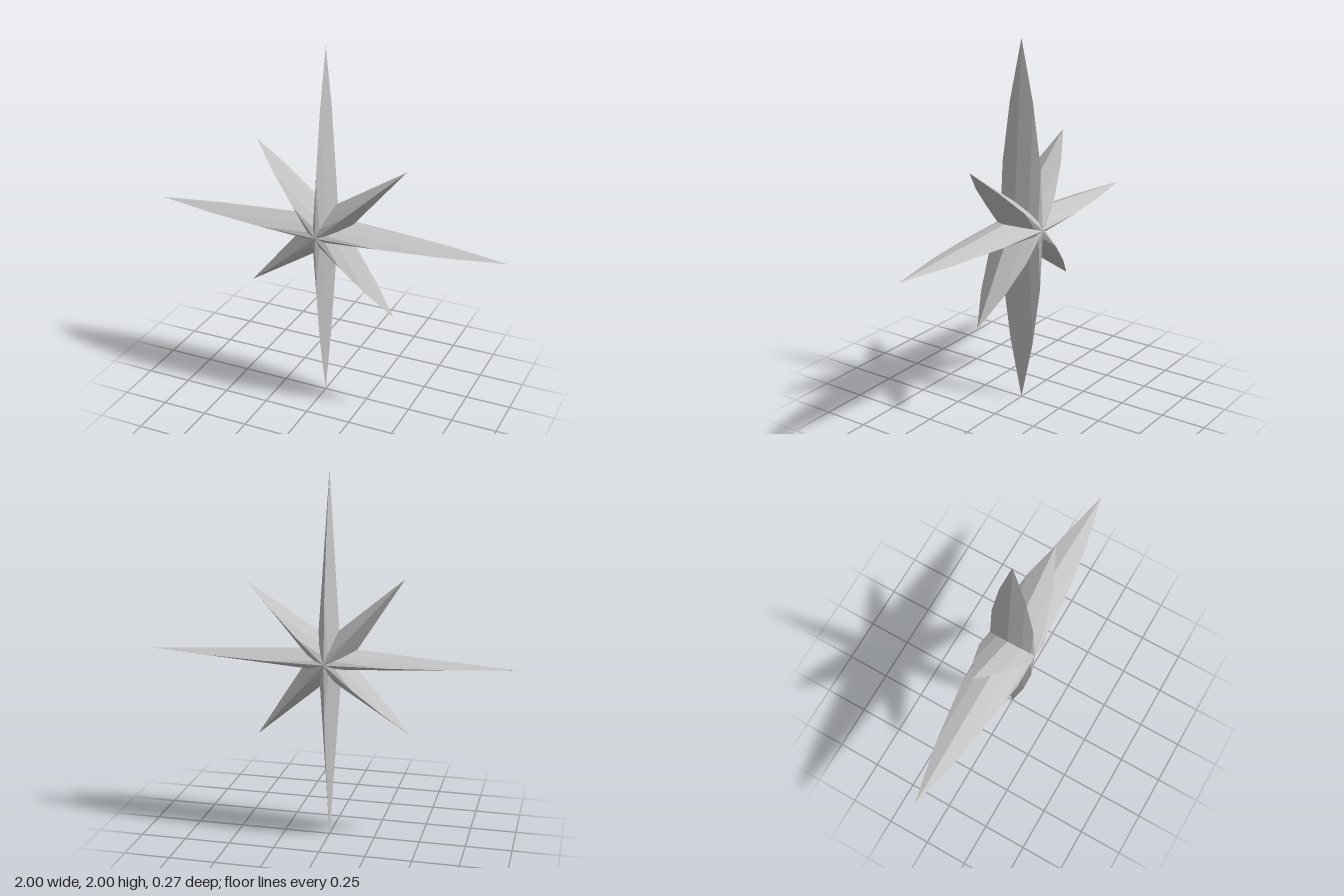
import * as THREE from 'three';

// Domed cross-section shared by all rays: [scale of the outline, half depth]
const RINGS = [[0, 0.137], [1 / 3, 0.121], [2 / 3, 0.073], [1, 0]];

const polar = (deg, r) => {
  const a = THREE.MathUtils.degToRad(deg);
  return [r * Math.cos(a), r * Math.sin(a)];
};

// One kite-shaped ray between two valleys, ridged on the front and back
function rayGeometry(outline) {
  const pos = [];
  const tri = (a, b, c, side) => pos.push(...a, ...(side > 0 ? [...b, ...c] : [...c, ...b]));
  for (const side of [1, -1]) {
    const at = (k, i) => [outline[i][0] * RINGS[k][0], outline[i][1] * RINGS[k][0], side * RINGS[k][1]];
    for (let k = 0; k < RINGS.length - 1; k++) {
      for (let i = 0; i < outline.length - 1; i++) {
        tri(at(k, i), at(k + 1, i), at(k + 1, i + 1), side);
        if (k > 0) tri(at(k, i), at(k + 1, i + 1), at(k, i + 1), side);
      }
    }
  }
  const geo = new THREE.BufferGeometry();
  geo.setAttribute('position', new THREE.Float32BufferAttribute(pos, 3));
  geo.computeVertexNormals();
  return geo;
}

export function createModel() {
  const group = new THREE.Group();
  group.name = 'eightPointedStar';
  const grey = new THREE.MeshStandardMaterial({ color: 0xc4c4c4 });
  grey.name = 'light grey';

  // The short rays sit slightly off the diagonals
  const valleyA = polar(-21.5, 0.162), valleyB = polar(18.5, 0.166);
  const nextValley = polar(68.5, 0.162);
  const longRay = rayGeometry([valleyA, polar(0, 1), valleyB]);
  const shortRay = rayGeometry([valleyB, polar(41.7, 0.6), nextValley]);

  // Four quarter turns of one long and one short ray
  for (let q = 0; q < 4; q++) {
    for (const [name, geo] of [['longRay', longRay], ['shortRay', shortRay]]) {
      const mesh = new THREE.Mesh(geo, grey);
      mesh.name = name + (q + 1);
      mesh.position.y = 1;
      mesh.rotation.z = q * Math.PI / 2;
      group.add(mesh);
    }
  }
  return group;
}
